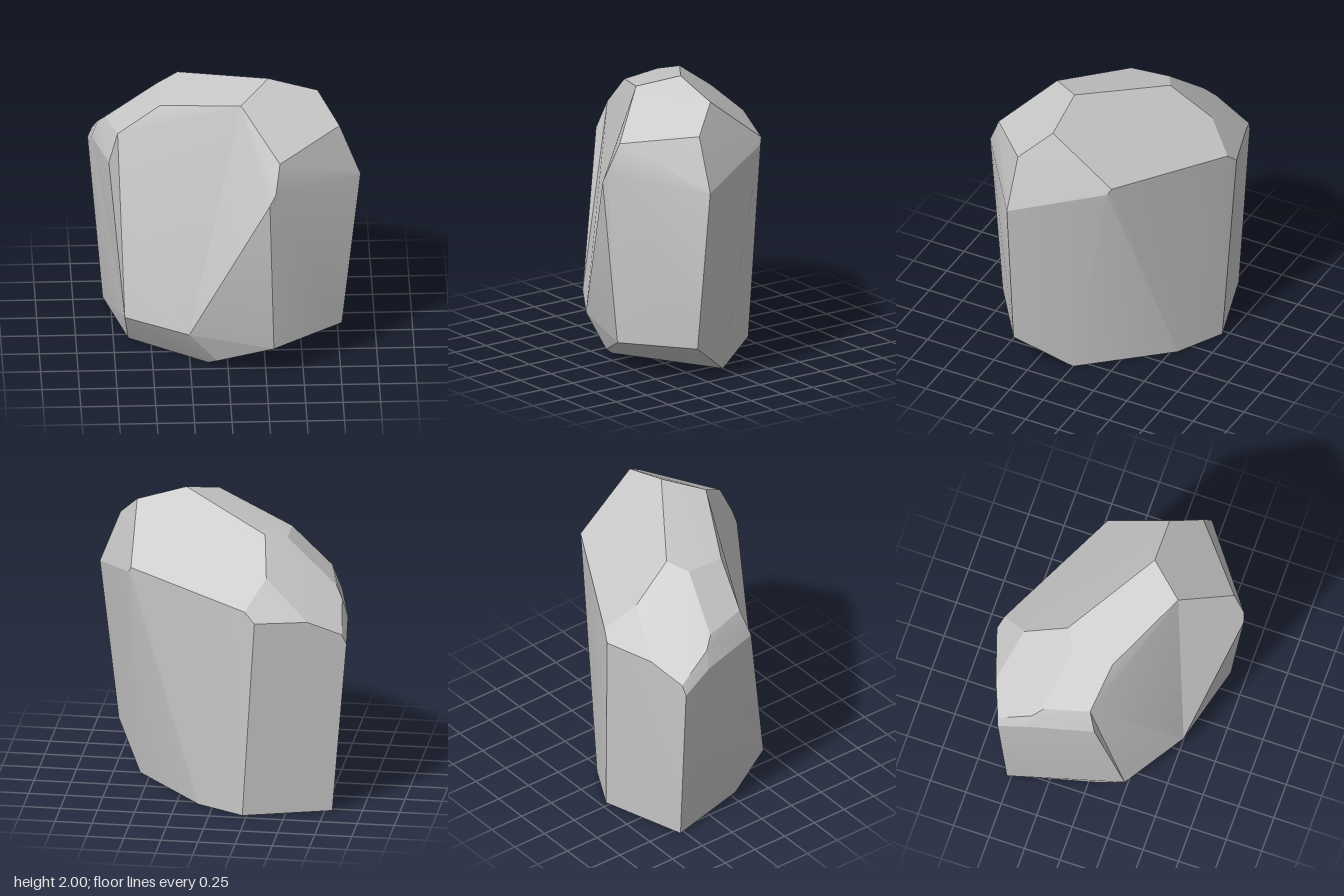
import * as THREE from 'three';
import { ConvexGeometry } from 'three/addons/geometries/ConvexGeometry.js';
import { toCreasedNormals } from 'three/addons/utils/BufferGeometryUtils.js';

// Corners shared by several blocks
const apex = [0.28, 2.0, 0.14], brow = [0.09, 1.92, 0.37], crest = [0.75, 1.73, 0.32];
const rightTip = [0.89, 1.37, 0.33], rightFoot = [0.765, 0.25, 0.345], rightBase = [0.57, 0, 0];
const midFoot = [-0.26, 0.275, 0.53], lowFoot = [-0.07, 0.06, 0.5], ridgeFoot = [0.3, 0.235, 0.67];
const frontBase = [-0.13, 0, 0.41];
const leftSide = [
  [-0.72, 1.54, 0.03], [-0.79, 1.51, -0.27], [-0.84, 1.44, -0.34], [-0.88, 1.32, -0.35],
  [-0.9, 1.2, -0.56], [-0.68, 0.27, 0.26], [-0.8, 0, -0.53], [-0.65, 0, 0.05],
];

// Convex blocks that meet in shallow hollows on the front
const blocks = {
  boulderBody: [
    apex, brow, crest, rightTip, rightFoot, rightBase, midFoot, lowFoot, ridgeFoot, frontBase,
    ...leftSide,
    [0.61, 1.9, 0.13], [-0.31, 1.84, -0.27], [-0.45, 1.8, -0.19], [-0.44, 1.78, 0.09],
    [-0.36, 1.64, -0.56], [0.59, 1.57, -0.3], [0.61, 1.53, -0.28], [-0.24, 1.46, -0.74],
    [-0.31, 1.39, -0.77], [-0.65, 1.38, -0.66], [-0.87, 1.27, -0.57],
    [0.1, 0, -0.54], [-0.22, 0, -0.71],
  ],
  frontRidge: [
    apex, brow, crest, rightTip, rightFoot, rightBase, midFoot, lowFoot, ridgeFoot, frontBase,
    [0.34, 1.64, 0.68], [0.31, 1.45, 0.76], [0.27, 1.37, 0.77],
  ],
  leftEdge: [...leftSide, [-0.78, 1.35, 0.08]],
};

export function createModel() {
  const stone = new THREE.MeshStandardMaterial({ color: 0xc8c8c8 });
  stone.name = 'light grey stone';

  const group = new THREE.Group();
  group.name = 'rock';
  for (const [name, corners] of Object.entries(blocks)) {
    const hull = new ConvexGeometry(corners.map((p) => new THREE.Vector3(...p)));
    // Hard edges stay sharp, gentle ones blend
    const block = new THREE.Mesh(toCreasedNormals(hull, 0.3), stone);
    block.name = name;
    group.add(block);
  }
  return group;
}
